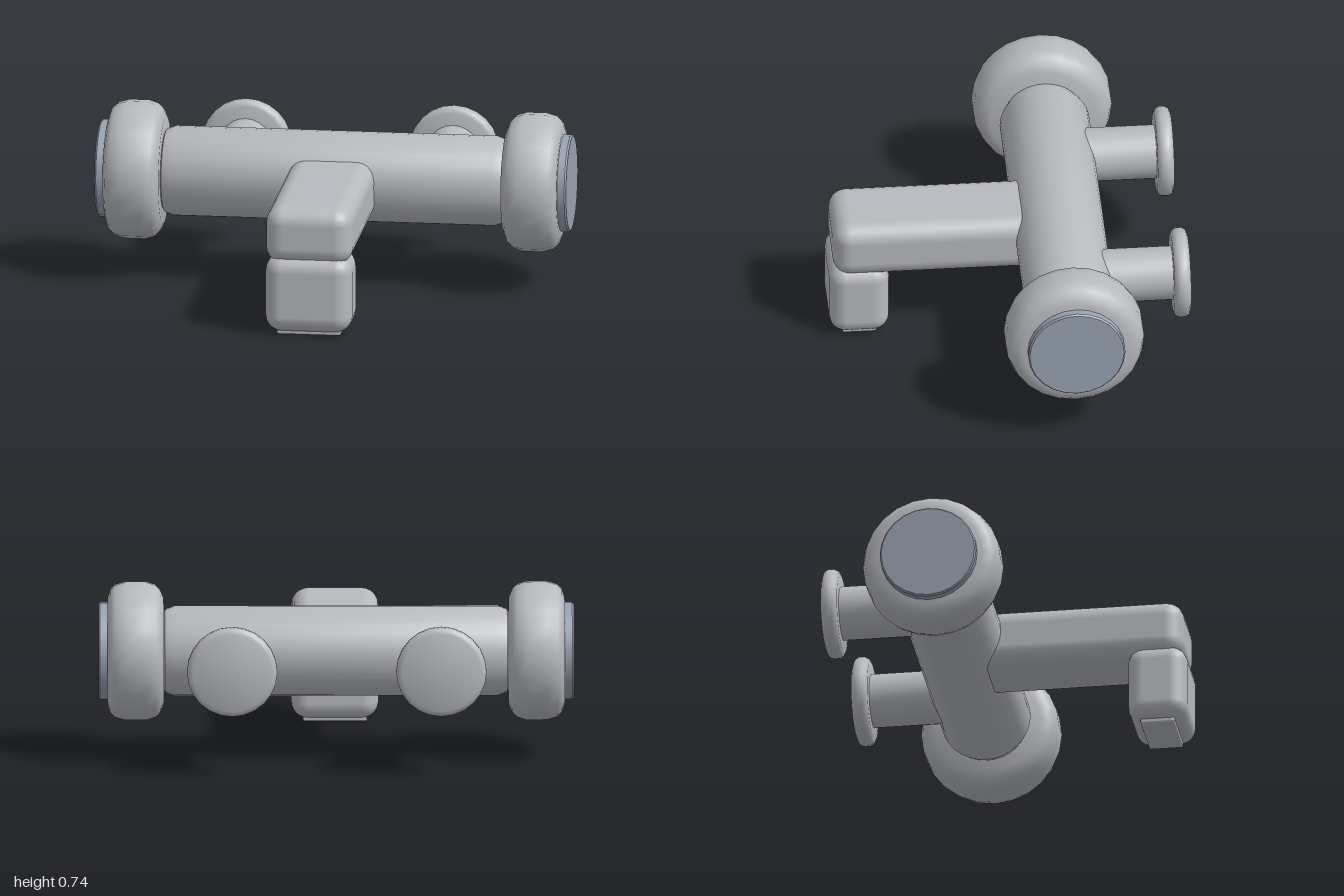
import * as THREE from 'three';
import { toCreasedNormals } from 'three/addons/utils/BufferGeometryUtils.js';
import { RoundedBoxGeometry } from 'three/addons/geometries/RoundedBoxGeometry.js';

const chrome = new THREE.MeshStandardMaterial({ color: 0xb8babf });
chrome.name = 'chrome';
const capGrey = new THREE.MeshStandardMaterial({ color: 0x98a2b0 });
capGrey.name = 'blue grey cap';

const AXIS_Y = 0.45, AXIS_Z = -0.23;

// Turned part: profile of [radius, distance along axis], from low to high
function turned(name, profile, material, sides = 24) {
  const points = profile.map(([r, d]) => new THREE.Vector2(r, d));
  const geometry = toCreasedNormals(new THREE.LatheGeometry(points, sides), 0.7);
  const mesh = new THREE.Mesh(geometry, material);
  mesh.name = name;
  return mesh;
}

// Soft-edged block given by its extents
function block(name, [x, y0, y1, z0, z1], radius) {
  const geometry = new RoundedBoxGeometry(2 * x, y1 - y0, z1 - z0, 3, radius);
  const mesh = new THREE.Mesh(geometry, chrome);
  mesh.position.set(0, (y0 + y1) / 2, (z0 + z1) / 2);
  mesh.name = name;
  return mesh;
}

export function createModel() {
  const model = new THREE.Group();
  model.name = 'mixerTap';

  // Horizontal body
  const body = turned('body', [
    [0, -0.73], [0.155, -0.73], [0.175, -0.72], [0.19, -0.68],
    [0.19, 0.68], [0.175, 0.72], [0.155, 0.73], [0, 0.73],
  ], chrome, 32);
  body.rotation.z = -Math.PI / 2;
  body.position.set(0, AXIS_Y, AXIS_Z);
  model.add(body);

  for (const side of [-1, 1]) {
    const label = side > 0 ? 'left' : 'right';

    // Control knob with its end cap
    const knob = new THREE.Group();
    knob.name = label + 'Knob';
    knob.add(turned('knobRing', [
      [0, 0.725], [0.225, 0.725], [0.26, 0.74], [0.28, 0.76], [0.293, 0.8],
      [0.293, 0.885], [0.28, 0.93], [0.26, 0.95], [0.225, 0.962], [0, 0.962],
    ], chrome));
    knob.add(turned('knobCap', [
      [0, 0.95], [0.205, 0.95], [0.205, 0.993], [0.199, 1], [0, 1],
    ], capGrey));
    knob.rotation.z = -side * Math.PI / 2;
    knob.position.set(0, AXIS_Y, AXIS_Z);
    model.add(knob);

    // Wall connection: pipe and rounded flange
    const inlet = new THREE.Group();
    inlet.name = label + 'Inlet';
    inlet.add(turned('inletPipe', [[0, 0.1], [0.114, 0.1], [0.114, 0.47], [0, 0.47]], chrome));
    inlet.add(turned('inletFlange', [
      [0, 0.445], [0.165, 0.445], [0.181, 0.452], [0.19, 0.468],
      [0.19, 0.492], [0.181, 0.508], [0.165, 0.515], [0, 0.515],
    ], chrome));
    inlet.rotation.x = -Math.PI / 2;
    inlet.position.set(side * 0.44, AXIS_Y, AXIS_Z);
    model.add(inlet);
  }

  // Spout arm, downward head and outlet
  model.add(block('spoutArm', [0.184, 0.305, 0.553, -0.25, 0.73], 0.075));
  model.add(block('spoutHead', [0.184, 0.015, 0.345, 0.492, 0.745], 0.07));
  model.add(block('outlet', [0.135, 0, 0.06, 0.546, 0.69], 0.008));

  return model;
}
